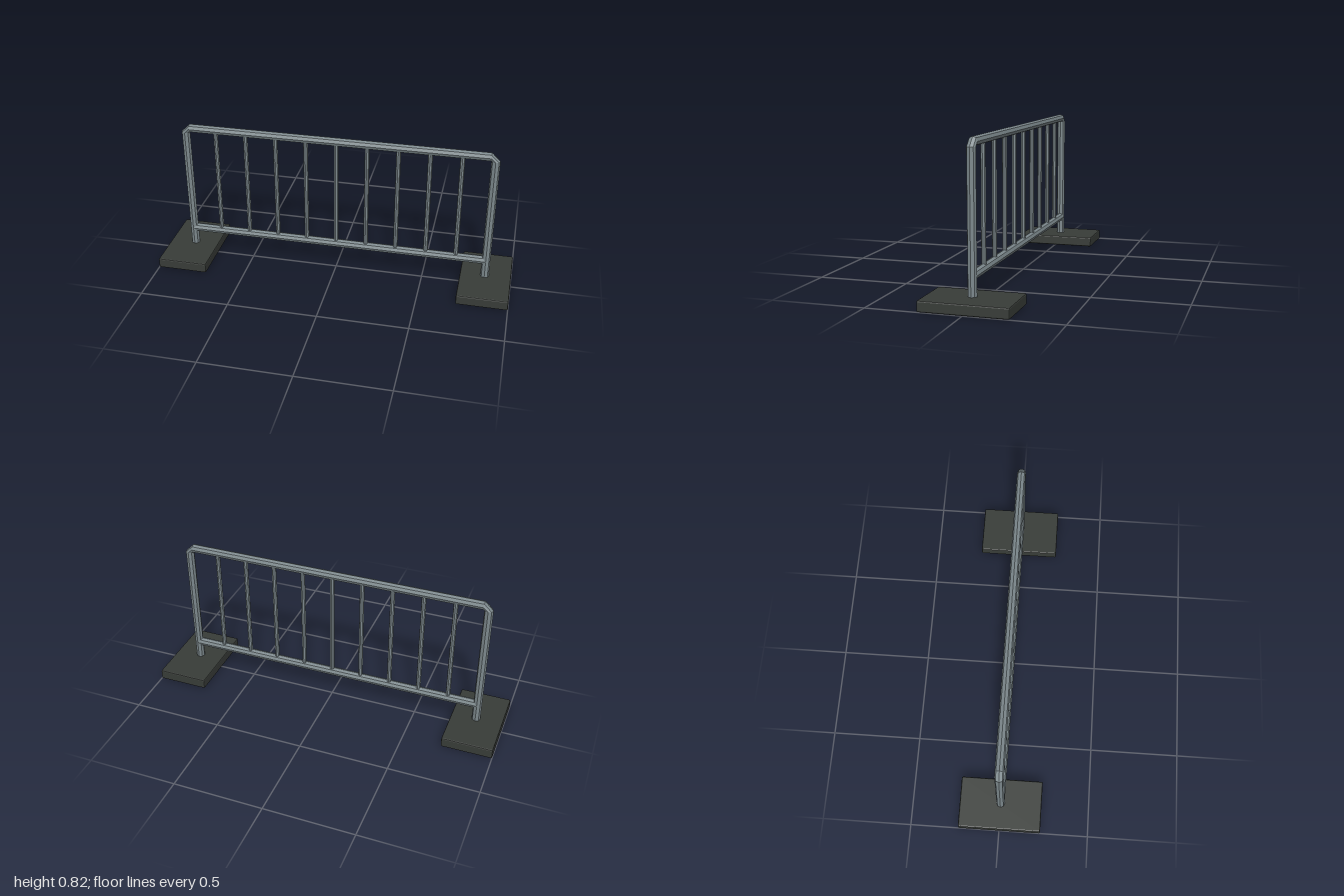
import * as THREE from 'three';
import { RoundedBoxGeometry } from 'three/addons/geometries/RoundedBoxGeometry.js';

const SIDES = 8;
const RADIUS = 0.024;

// Tube skinned over rings: [x, y, outward normal x, outward normal y, twist]
function ringTube(rings) {
  const position = [];
  const index = [];
  rings.forEach(([x, y, nx, ny, twist], i) => {
    for (let j = 0; j < SIDES; j++) {
      const a = (j / SIDES) * Math.PI * 2 + twist;
      const c = Math.cos(a) * RADIUS;
      position.push(x + nx * c, y + ny * c, Math.sin(a) * RADIUS);
      if (i === rings.length - 1) continue;
      const k = (j + 1) % SIDES;
      const p = i * SIDES + j, q = i * SIDES + k;
      index.push(p, q, q + SIDES, p, q + SIDES, p + SIDES);
    }
  });
  const geometry = new THREE.BufferGeometry();
  geometry.setAttribute('position', new THREE.Float32BufferAttribute(position, 3));
  geometry.setIndex(index);
  geometry.computeVertexNormals();
  return geometry;
}

export function createModel() {
  const group = new THREE.Group();
  const metal = new THREE.MeshStandardMaterial({ color: 0x7c888c, flatShading: true });
  const rubber = new THREE.MeshStandardMaterial({ color: 0x383c38, flatShading: true });

  const add = (name, geometry, material, x = 0, y = 0, z = 0) => {
    const mesh = new THREE.Mesh(geometry, material);
    mesh.name = name;
    mesh.position.set(x, y, z);
    group.add(mesh);
    return mesh;
  };

  // Bent frame: slightly twisted legs, chamfered corners and top rail
  const twist = Math.PI / 4;
  add('frame', ringTube([
    [-0.853, 0.03, -1, 0, twist],
    [-0.857, 0.778, -1, 0, 0],
    [-0.833, 0.801, 0, 1, 0],
    [0.833, 0.801, 0, 1, 0],
    [0.857, 0.778, 1, 0, 0],
    [0.853, 0.03, 1, 0, -twist],
  ]), metal);

  // Lower rail between the legs
  const rail = new THREE.CylinderGeometry(RADIUS, RADIUS, 1.71, SIDES);
  rail.rotateZ(Math.PI / 2);
  add('lowerRail', rail, metal, 0, 0.16, 0);

  // Upright bars
  const bar = new THREE.CylinderGeometry(0.013, 0.013, 0.64, SIDES);
  for (let i = -4; i <= 4; i++) add('uprightBar', bar, metal, i * 0.171, 0.48, 0);

  // Heavy feet
  const foot = new RoundedBoxGeometry(0.284, 0.057, 0.462, 1, 0.007);
  for (const side of [-1, 1]) {
    add(side > 0 ? 'leftFoot' : 'rightFoot', foot, rubber, side * 0.858, 0.0285, 0);
  }

  return group;
}
